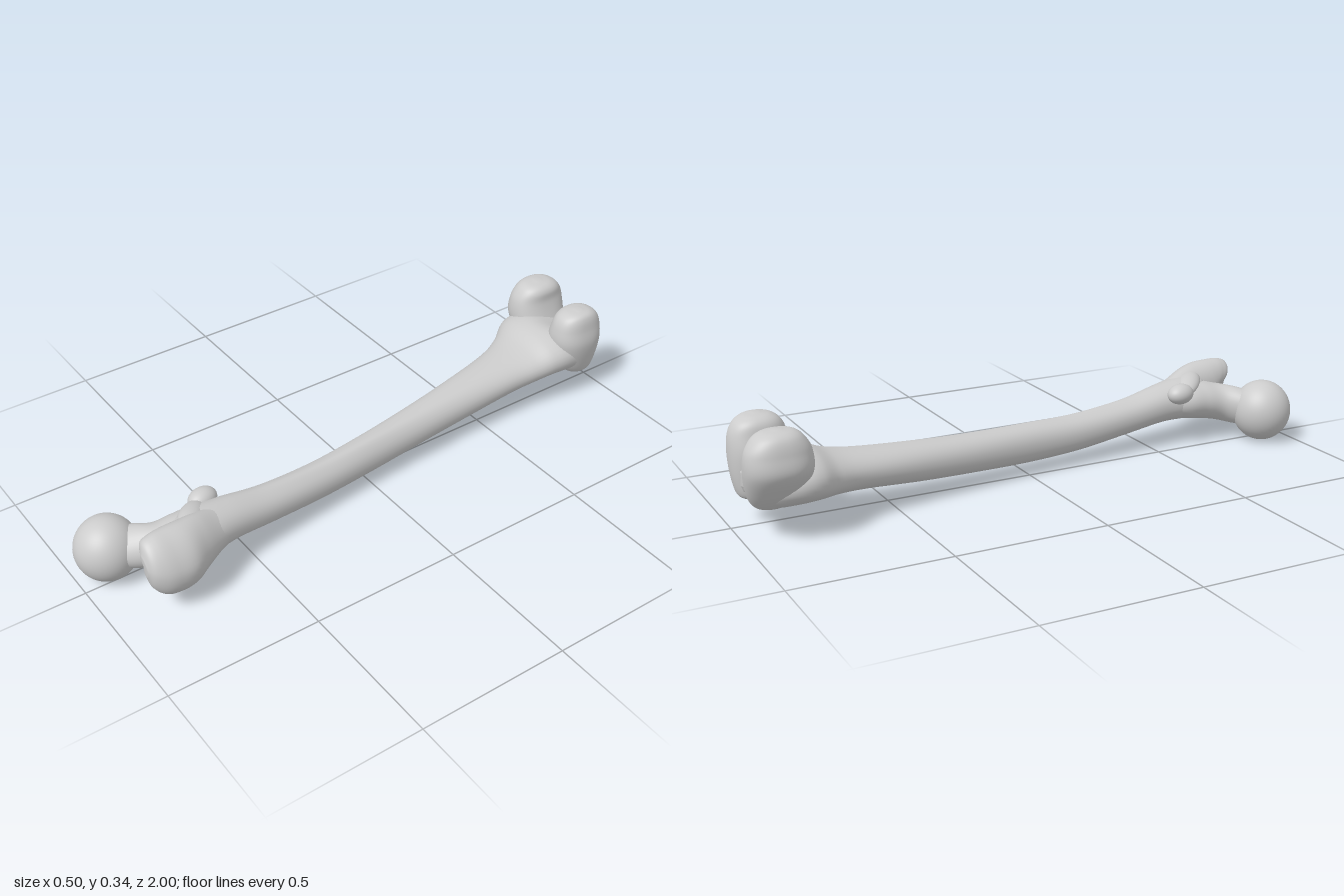
import * as THREE from 'three';

const bone = new THREE.MeshStandardMaterial({ color: 0xcccccc, side: THREE.DoubleSide });
const bump = (d, w) => Math.exp(-(d * d) / (w * w));

// Smooth solid through sections [position, uMin, uMax, vMin, vMax].
// axis 'z': u = x, v = y.  axis 'y': u = z, v = x.
function loft(name, axis, sections, deform, power = 1, rows = 8, sides = 40) {
  const centres = new THREE.CatmullRomCurve3(sections.map(
    ([p, a, b, c, d]) => new THREE.Vector3((a + b) / 2, (c + d) / 2, p)), false, 'catmullrom', 0.5);
  const radii = new THREE.CatmullRomCurve3(sections.map(
    ([, a, b, c, d]) => new THREE.Vector3((b - a) / 2, (d - c) / 2, 0)), false, 'catmullrom', 0.5);
  const n = (sections.length - 1) * rows;
  const pos = [], index = [];
  const round = t => Math.sign(t) * Math.abs(t) ** power;
  const add = (u, v, p) => {
    const q = axis === 'z' ? new THREE.Vector3(u, v, p) : new THREE.Vector3(v, p, u);
    if (deform) deform(q);
    pos.push(q.x, q.y, q.z);
  };
  for (let i = 0; i <= n; i++) {
    const c = centres.getPoint(i / n), r = radii.getPoint(i / n);
    for (let j = 0; j < sides; j++) {
      const a = (j / sides) * Math.PI * 2;
      add(c.x + Math.max(r.x, 0.002) * round(Math.cos(a)),
        c.y + Math.max(r.y, 0.002) * round(Math.sin(a)), c.z);
      if (i < n) {
        const k = i * sides + j, m = i * sides + (j + 1) % sides;
        index.push(k, m, m + sides, k, m + sides, k + sides);
      }
    }
  }
  // end caps
  const first = centres.getPoint(0), last = centres.getPoint(1);
  const base = (n + 1) * sides;
  add(first.x, first.y, first.z);
  add(last.x, last.y, last.z);
  for (let j = 0; j < sides; j++) {
    const m = (j + 1) % sides;
    index.push(base, m, j, base + 1, n * sides + j, n * sides + m);
  }
  const geo = new THREE.BufferGeometry();
  geo.setAttribute('position', new THREE.Float32BufferAttribute(pos, 3));
  geo.setIndex(index);
  geo.computeVertexNormals();
  const mesh = new THREE.Mesh(geo, bone);
  mesh.name = name;
  return mesh;
}

function ball(name, [x, y, z], [rx, ry, rz], tilt = [0, 0, 0]) {
  const mesh = new THREE.Mesh(new THREE.SphereGeometry(1, 48, 32), bone);
  mesh.position.set(x, y, z);
  mesh.scale.set(rx, ry, rz);
  mesh.rotation.set(...tilt);
  mesh.name = name;
  return mesh;
}

export function createModel() {
  const group = new THREE.Group();
  group.name = 'thighBone';

  // bowed shaft, flaring to the knee end, with a ridge along its upper side
  group.add(loft('shaft', 'z', [
    [-0.965, -0.13, 0.04, 0.12, 0.19],
    [-0.95, -0.17, 0.07, 0.095, 0.215],
    [-0.9, -0.2, 0.09, 0.082, 0.235],
    [-0.83, -0.222, 0.098, 0.086, 0.248],
    [-0.77, -0.212, 0.092, 0.088, 0.24],
    [-0.7, -0.165, 0.077, 0.084, 0.212],
    [-0.6, -0.125, 0.066, 0.075, 0.196],
    [-0.4, -0.085, 0.066, 0.056, 0.18],
    [-0.2, -0.052, 0.075, 0.044, 0.167],
    [0, -0.022, 0.09, 0.036, 0.16],
    [0.2, 0, 0.112, 0.04, 0.157],
    [0.4, 0.018, 0.14, 0.06, 0.175],
    [0.55, 0.022, 0.165, 0.078, 0.205],
    [0.65, 0.02, 0.19, 0.078, 0.22],
    [0.72, 0.05, 0.21, 0.085, 0.22],
    [0.76, 0.1, 0.18, 0.12, 0.19],
  ], q => {
    // groove for the kneecap below, notch between the condyles above
    const end = THREE.MathUtils.smoothstep(-q.z, 0.78, 0.93);
    const groove = end * bump(q.x + 0.05, 0.045);
    q.y += q.y < 0.16 ? 0.02 * groove : -0.02 * groove;
    // ridge
    const mid = bump(q.z - 0.15, 0.4);
    const top = THREE.MathUtils.smoothstep(q.y, 0.11, 0.17);
    q.y += 0.008 * mid * top * bump(q.x - 0.055 - 0.06 * q.z, 0.022);
  }, 0.93));

  // paired knee condyles, thick wheels standing on the shaft end
  group.add(loft('medialCondyle', 'y', [
    [0.085, -0.93, -0.89, -0.12, -0.07],
    [0.1, -0.96, -0.85, -0.155, -0.04],
    [0.15, -0.985, -0.81, -0.205, -0.06],
    [0.22, -1, -0.795, -0.25, -0.09],
    [0.28, -0.997, -0.8, -0.246, -0.11],
    [0.318, -0.975, -0.82, -0.235, -0.114],
    [0.337, -0.945, -0.845, -0.215, -0.13],
    [0.344, -0.905, -0.885, -0.185, -0.16],
  ], null, 0.86));
  group.add(loft('lateralCondyle', 'y', [
    [0.078, -0.94, -0.9, 0.01, 0.05],
    [0.092, -0.965, -0.86, -0.02, 0.08],
    [0.15, -0.98, -0.82, -0.035, 0.1],
    [0.22, -0.985, -0.8, -0.04, 0.112],
    [0.275, -0.98, -0.805, -0.028, 0.104],
    [0.31, -0.963, -0.82, -0.018, 0.097],
    [0.328, -0.935, -0.845, 0.002, 0.085],
    [0.335, -0.9, -0.88, 0.035, 0.06],
  ], null, 0.86));

  // neck swinging inward to the ball of the hip
  group.add(loft('neck', 'z', [
    [0.56, 0.04, 0.13, 0.1, 0.18],
    [0.64, 0.008, 0.17, 0.08, 0.205],
    [0.71, 0.002, 0.165, 0.072, 0.205],
    [0.77, -0.008, 0.14, 0.062, 0.193],
    [0.82, -0.05, 0.105, 0.052, 0.185],
    [0.87, -0.09, 0.07, 0.05, 0.17],
    [0.91, -0.09, 0.035, 0.07, 0.15],
  ]));
  group.add(ball('head', [-0.037, 0.105, 0.899], [0.1, 0.105, 0.101]));

  // greater trochanter, leaning over a hollow beside the neck
  group.add(loft('greaterTrochanter', 'z', [
    [0.48, 0.06, 0.13, 0.09, 0.17],
    [0.6, 0.045, 0.177, 0.075, 0.21],
    [0.68, 0.07, 0.215, 0.06, 0.24],
    [0.74, 0.085, 0.246, 0.055, 0.252],
    [0.8, 0.095, 0.25, 0.056, 0.255],
    [0.84, 0.105, 0.245, 0.068, 0.253],
    [0.87, 0.12, 0.23, 0.1, 0.24],
    [0.884, 0.155, 0.205, 0.145, 0.205],
  ], q => {
    const k = THREE.MathUtils.smoothstep(q.z, 0.6, 0.8);
    q.x -= k * 0.2 * (q.y - 0.155);
    // hollow on the inner lower face
    q.z -= 0.07 * THREE.MathUtils.smoothstep(q.z, 0.78, 0.86)
      * bump(q.x - 0.115, 0.035) * bump(q.y - 0.12, 0.06);
  }, 1.1));

  // small bump below the neck, and the crest joining it to the trochanter
  group.add(ball('lesserTrochanter', [0.022, 0.188, 0.597], [0.038, 0.035, 0.05], [0, 0.2, 0]));
  group.add(ball('crest', [0.085, 0.2, 0.67], [0.085, 0.028, 0.04], [0, -0.75, 0.2]));

  return group;
}
